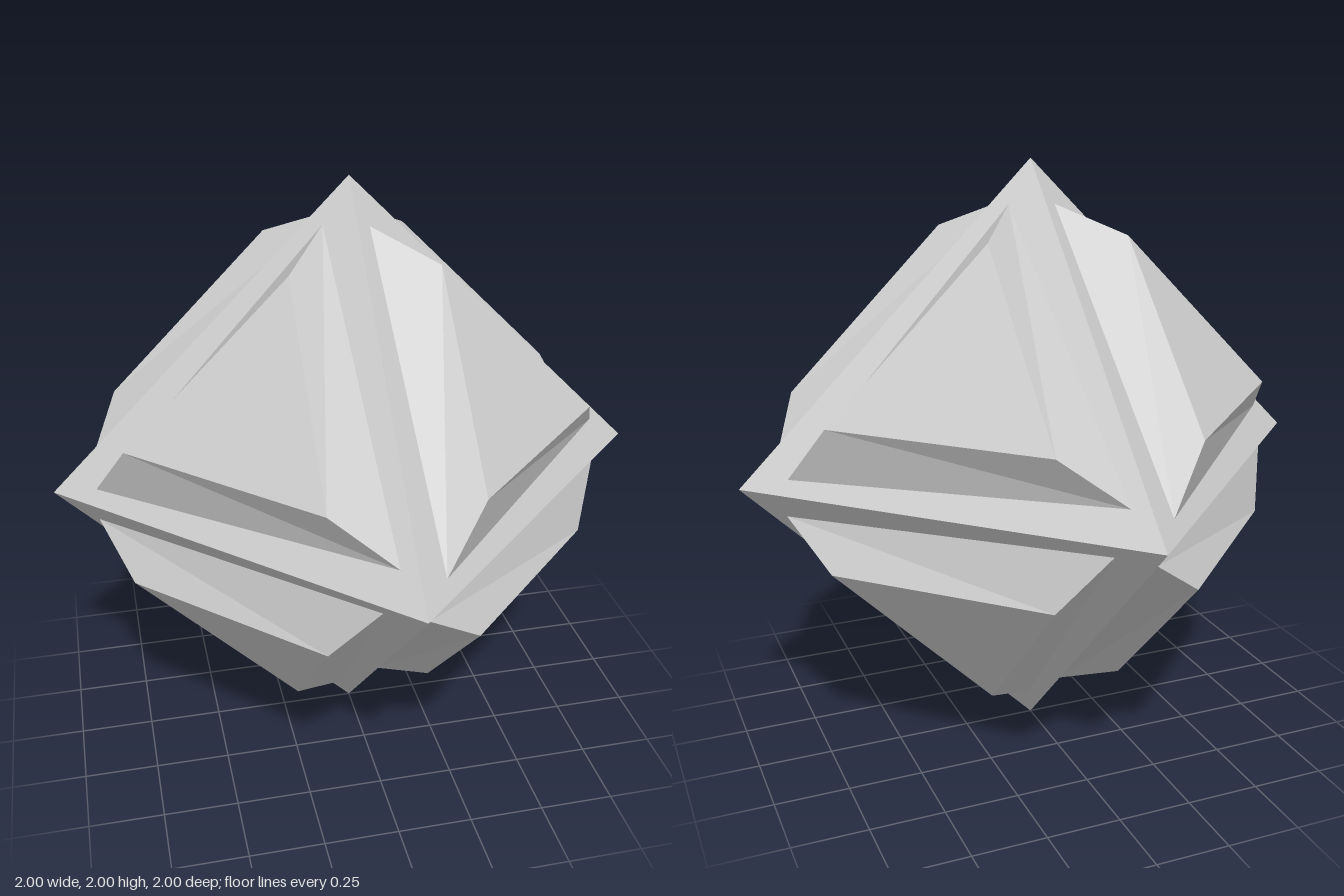
import * as THREE from 'three';

const material = new THREE.MeshStandardMaterial({ color: 0xcccccc, flatShading: true });

// Raised triangular plate for one face: a slightly twisted base tapering to a flat top
function createPlateGeometry() {
  const [low, mid, high] = [0.045, 0.094, 0.861];
  const base = [[high, mid, low], [low, high, mid], [mid, low, high]];
  const inner = 0.238, outer = 0.769;
  const top = [[outer, inner, inner], [inner, outer, inner], [inner, inner, outer]];

  const corners = [...top]; // flat top
  for (let i = 0; i < 3; i++) {
    const j = (i + 1) % 3;
    corners.push(base[i], base[j], top[i]); // twisted side, two triangles
    corners.push(base[j], top[j], top[i]);
  }
  const geometry = new THREE.BufferGeometry();
  geometry.setAttribute('position', new THREE.Float32BufferAttribute(corners.flat(), 3));
  geometry.computeVertexNormals();
  return geometry;
}

export function createModel() {
  const model = new THREE.Group();
  model.name = 'studdedOctahedron';

  // Core solid
  const core = new THREE.Mesh(new THREE.OctahedronGeometry(1), material);
  core.name = 'core';
  core.position.y = 1;
  model.add(core);

  // Eight plates: four around the upper half, four turned over for the lower half
  const plateGeometry = createPlateGeometry();
  for (const half of ['upper', 'lower']) {
    const ring = new THREE.Group();
    ring.name = half + 'Plates';
    ring.position.y = 1;
    if (half === 'lower') ring.rotation.x = Math.PI;
    for (let i = 0; i < 4; i++) {
      const plate = new THREE.Mesh(plateGeometry, material);
      plate.name = half + 'Plate' + (i + 1);
      plate.rotation.y = (i * Math.PI) / 2;
      ring.add(plate);
    }
    model.add(ring);
  }
  return model;
}
